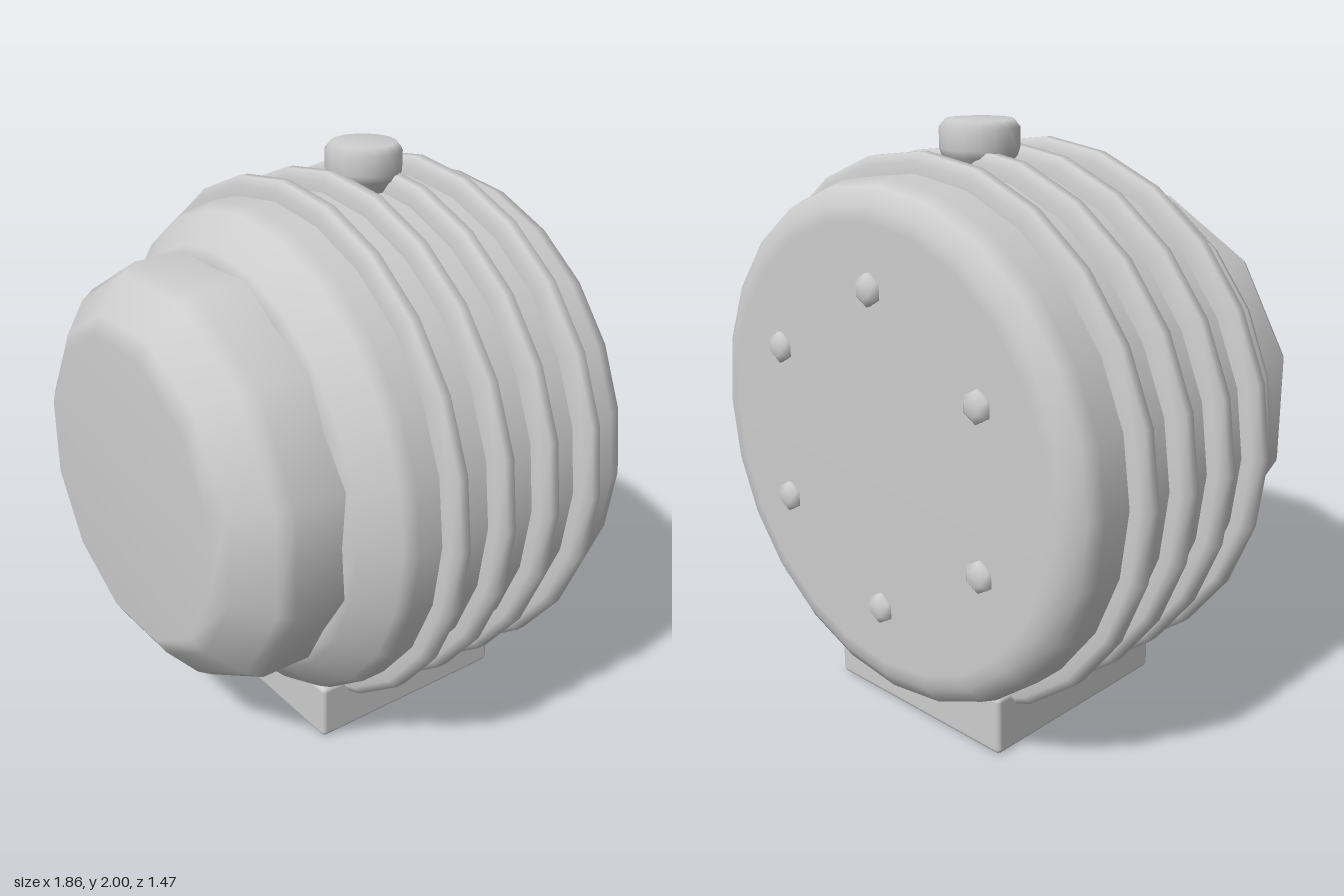
import * as THREE from 'three';
import { RoundedBoxGeometry } from 'three/addons/geometries/RoundedBoxGeometry.js';

const CENTRE_Y = 0.99; // height of the drum axis

// Revolve [radius, height] pairs around the y axis, listed from bottom to top
function revolve(profile, sides, phase = 0) {
  const points = profile.map(([r, h]) => new THREE.Vector2(r, h));
  return new THREE.LatheGeometry(points, sides, phase);
}

// Same, but with the axis laid along z, listed from back to front
function revolveZ(profile, sides, phase = 0) {
  return revolve(profile, sides, phase).rotateX(Math.PI / 2);
}

export function createModel() {
  const model = new THREE.Group();
  model.name = 'ribbedDrum';
  const grey = new THREE.MeshStandardMaterial({ color: 0xcccccc });
  grey.name = 'grey';

  function add(name, geometry, x = 0, y = 0, z = 0) {
    const mesh = new THREE.Mesh(geometry, grey);
    mesh.name = name;
    mesh.position.set(x, y, z);
    model.add(mesh);
    return mesh;
  }

  // Main drum with a rounded back edge and a wide bevel in front
  add('drum', revolveZ([
    [0, -0.705], [0.74, -0.705], [0.79, -0.7], [0.845, -0.665], [0.863, -0.61],
    [0.863, 0.22], [0.84, 0.265], [0.74, 0.36], [0.69, 0.385], [0, 0.385],
  ], 24), 0, CENTRE_Y);

  // Twelve-sided front cap
  add('frontCap', revolveZ([
    [0.72, 0.36], [0.72, 0.55], [0.69, 0.6], [0.58, 0.7], [0.52, 0.735], [0, 0.735],
  ], 12, Math.PI / 12), 0, CENTRE_Y);

  // Raised cooling rings
  const ring = revolveZ([
    [0.84, -0.037], [0.9, -0.037], [0.928, -0.018],
    [0.928, 0.018], [0.9, 0.037], [0.84, 0.037],
  ], 24);
  [0.095, -0.092, -0.28, -0.467].forEach((z, i) => add(`ring${i + 1}`, ring, 0, CENTRE_Y, z));

  // Hexagonal bolts in a circle on the back
  const bolt = revolveZ([
    [0, -0.735], [0.03, -0.735], [0.053, -0.718], [0.053, -0.7],
  ], 6);
  for (let i = 0; i < 6; i++) {
    const a = (i * Math.PI) / 3;
    add(`bolt${i + 1}`, bolt, 0.535 * Math.sin(a), CENTRE_Y + 0.535 * Math.cos(a), 0);
  }

  // Knob on top
  add('topKnob', revolve([
    [0.075, 1.83], [0.09, 1.845], [0.122, 1.885], [0.13, 1.91],
    [0.13, 1.975], [0.11, 2], [0, 2],
  ], 16), 0, 0, -0.225);

  // Foot block
  add('foot', new RoundedBoxGeometry(0.8, 0.21, 0.795, 2, 0.018), 0, 0.105, -0.172);

  return model;
}
